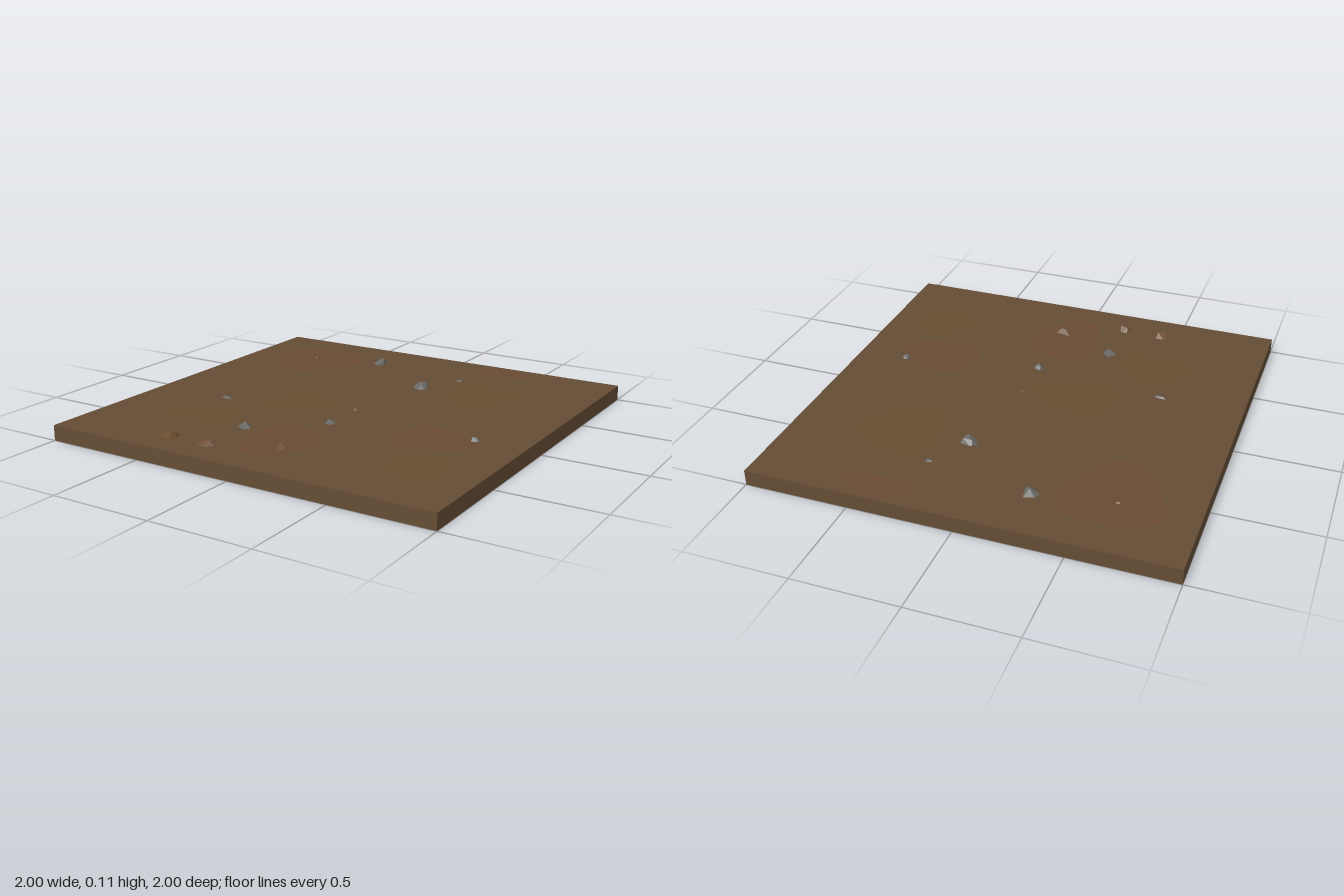
import * as THREE from 'three';
import { ConvexGeometry } from 'three/addons/geometries/ConvexGeometry.js';

const GROUND = 0.075;

const material = (name, color, flatShading = false) => {
  const m = new THREE.MeshStandardMaterial({ color, flatShading });
  m.name = name;
  return m;
};

// Convex stone: footprint [x, z] sunk into the soil, crest [x, z, height] above it
function stoneGeometry(footprint, crest) {
  const points = [];
  for (const [x, z] of footprint) points.push(new THREE.Vector3(x, GROUND - 0.01, z));
  for (const [x, z, h] of crest) points.push(new THREE.Vector3(x, GROUND + h, z));
  return new ConvexGeometry(points);
}

// Small angular pebble with an uneven outline and an off-centre tip
function pebbleGeometry(x, z, rx, rz, h, turn) {
  const ring = (scale, n, phase) => Array.from({ length: n }, (_, i) => {
    const a = phase + (i / n) * Math.PI * 2;
    const r = scale * (1 + 0.12 * Math.sin(i * 2.4 + turn));
    return [x + Math.cos(a) * rx * r, z + Math.sin(a) * rz * r];
  });
  const crest = ring(0.4, 3, turn + 0.5).map(([px, pz], i) => [px, pz, h * (1 - 0.2 * i)]);
  return stoneGeometry(ring(1.05, 6, turn), crest);
}

// Soft irregular blotch of differently toned soil lying on the ground
function patchGeometry(x, z, rx, rz, turn) {
  const loop = Array.from({ length: 9 }, (_, i) => {
    const a = (i / 9) * Math.PI * 2;
    const r = 1 + 0.14 * Math.sin(i * 2.1 + turn);
    return new THREE.Vector2(Math.cos(a) * rx * r, Math.sin(a) * rz * r);
  });
  loop.push(loop[0].clone());
  const shape = new THREE.Shape();
  shape.moveTo(loop[0].x, loop[0].y);
  shape.splineThru(loop.slice(1));
  return new THREE.ShapeGeometry(shape, 4).rotateX(-Math.PI / 2).translate(x, GROUND + 0.001, z);
}

export function createModel() {
  const model = new THREE.Group();
  model.name = 'groundTile';
  const soil = material('soil brown', 0x654d35);
  const clay = material('clay brown', 0x684a35);
  const olive = material('olive brown', 0x654e32);
  const grey = material('stone grey', 0x6a6a68, true);
  const earth = material('earthy stone', 0x6b4d31, true);

  const add = (name, geometry, mat) => {
    const mesh = new THREE.Mesh(geometry, mat);
    mesh.name = name;
    model.add(mesh);
  };

  // Square slab of soil
  add('soilSlab', new THREE.BoxGeometry(2, GROUND, 2).translate(0, GROUND / 2, 0), soil);

  // Toned soil: x, z, radius x, radius z, variation
  [[-0.6, -0.62, 0.24, 0.24, 0], [0.02, 0.62, 0.18, 0.22, 1], [0.58, 0.26, 0.2, 0.16, 2],
    [0.4, -0.9, 0.17, 0.08, 3]].forEach((p) => add('clayPatch', patchGeometry(...p), clay));
  [[0.48, -0.45, 0.22, 0.22, 1], [-0.2, 0.1, 0.24, 0.17, 2], [0.7, 0.6, 0.17, 0.18, 4],
    [-0.5, 0.48, 0.2, 0.18, 3]].forEach((p) => add('olivePatch', patchGeometry(...p), olive));

  // Larger grey stones
  add('greyStone', stoneGeometry(
    [[-0.31, -0.71], [-0.29, -0.755], [-0.23, -0.775], [-0.23, -0.715], [-0.26, -0.675]],
    [[-0.255, -0.735, 0.032], [-0.235, -0.72, 0.028]]), grey);
  add('greyStone', stoneGeometry(
    [[0.095, -0.45], [0.12, -0.485], [0.185, -0.475], [0.19, -0.41], [0.16, -0.385], [0.105, -0.415]],
    [[0.125, -0.46, 0.021], [0.17, -0.46, 0.025], [0.16, -0.42, 0.025]]), grey);
  add('greyStone', stoneGeometry(
    [[-0.64, 0.21], [-0.54, 0.21], [-0.55, 0.265], [-0.61, 0.265]],
    [[-0.6, 0.225, 0.008], [-0.57, 0.23, 0.007]]), grey);
  add('greyStone', stoneGeometry(
    [[-0.235, 0.505], [-0.28, 0.57], [-0.21, 0.6], [-0.185, 0.56]],
    [[-0.225, 0.56, 0.03]]), grey);

  // Larger earthy stones
  add('earthyStone', stoneGeometry(
    [[0.01, 0.655], [0.115, 0.68], [0.125, 0.72], [0.085, 0.77]],
    [[0.06, 0.7, 0.023], [0.08, 0.7, 0.023]]), earth);
  add('earthyStone', stoneGeometry(
    [[-0.505, 0.86], [-0.47, 0.79], [-0.41, 0.79], [-0.385, 0.84], [-0.395, 0.89]],
    [[-0.46, 0.85, 0.02], [-0.42, 0.83, 0.023], [-0.42, 0.865, 0.02]]), earth);
  add('earthyStone', stoneGeometry(
    [[-0.29, 0.86], [-0.255, 0.8], [-0.22, 0.8], [-0.175, 0.84], [-0.21, 0.885], [-0.26, 0.885]],
    [[-0.25, 0.83, 0.02], [-0.21, 0.84, 0.022]]), earth);

  // Pebbles: x, z, radius x, radius z, height, turn
  [[0.26, -0.65, 0.03, 0.028, 0.006, 0.4], [0.07, 0.3, 0.033, 0.03, 0.021, 1.1],
    [0.755, 0.17, 0.03, 0.026, 0.017, 2]].forEach((p) => add('greyPebble', pebbleGeometry(...p), grey));
  [[-0.63, -0.66, 0.025, 0.03, 0.008, 0.8], [-0.03, -0.26, 0.014, 0.018, 0.007, 0.2],
    [0.065, 0.06, 0.027, 0.024, 0.01, 1.5]].forEach((p) => add('earthyPebble', pebbleGeometry(...p), earth));

  return model;
}
